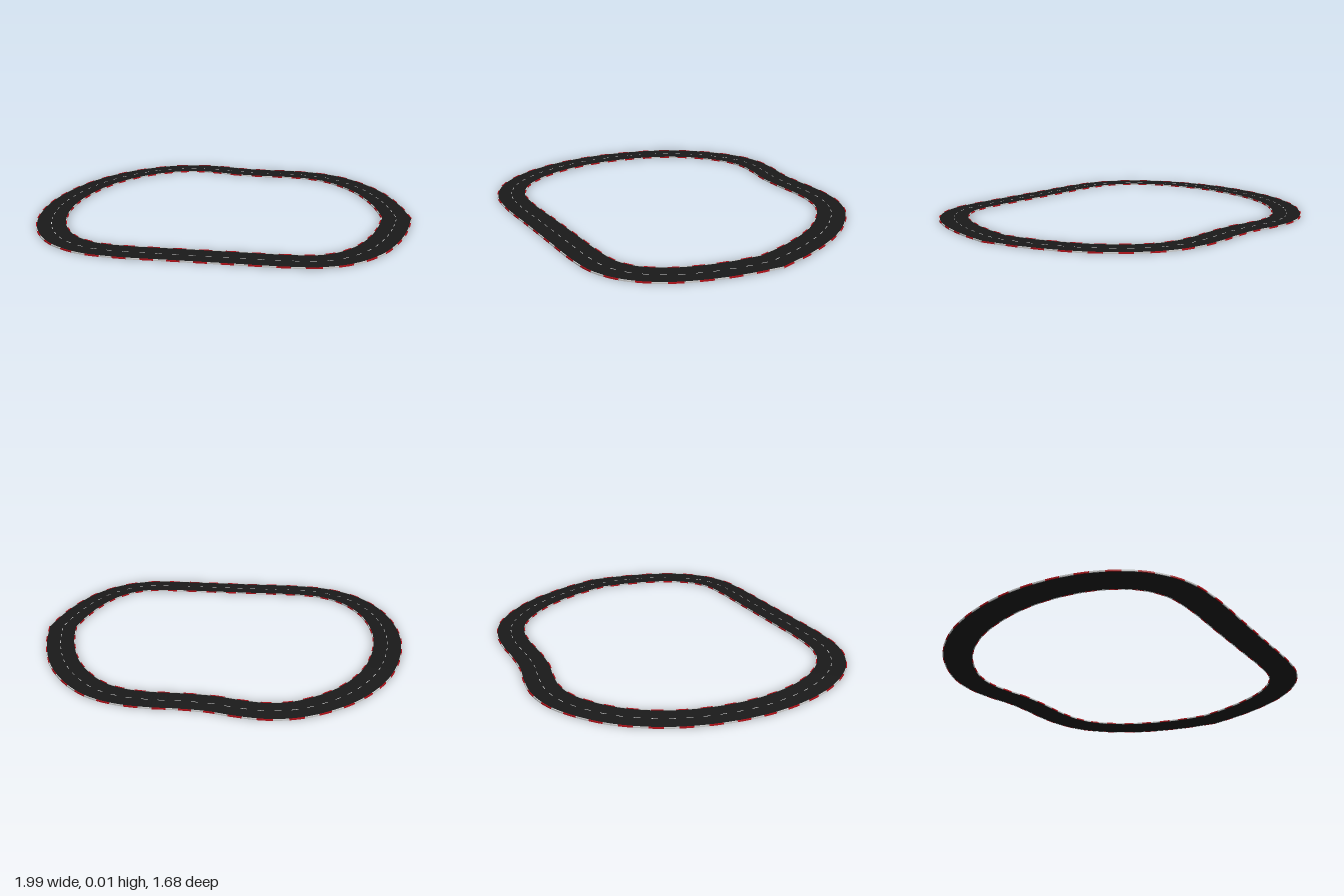
import * as THREE from 'three';

// Centre line of the circuit as [x, z], starting and ending at the kink on the left side
const CENTRE = [
  [0.917, 0.07], [0.87, -0.147], [0.775, -0.385], [0.65, -0.555], [0.54, -0.645], [0.415, -0.693],
  [0.28, -0.71], [0.13, -0.71], [-0.02, -0.72], [-0.15, -0.748], [-0.28, -0.763], [-0.4, -0.745],
  [-0.51, -0.695], [-0.665, -0.575], [-0.8, -0.388], [-0.882, -0.17], [-0.918, 0.083], [-0.893, 0.323],
  [-0.826, 0.505], [-0.72, 0.645], [-0.575, 0.73], [-0.4, 0.757], [-0.13, 0.758], [0.13, 0.758],
  [0.4, 0.757], [0.54, 0.74], [0.66, 0.68], [0.767, 0.562], [0.842, 0.404], [0.888, 0.243], [0.917, 0.07],
];
const HALF_ROAD = 0.074;
const HALF_TOTAL = 0.079;

const curve = new THREE.CatmullRomCurve3(CENTRE.map(([x, z]) => new THREE.Vector3(x, 0, z)));
curve.arcLengthDivisions = 1500;
const LENGTH = curve.getLength();

// Position and sideways direction (towards the infield) at fraction s; the two ends share a mitre
function frame(s) {
  const p = curve.getPointAt(s);
  const t = curve.getTangentAt(s);
  let mitre = 1;
  if (s < 1e-6 || s > 1 - 1e-6) {
    const own = t.clone();
    t.copy(curve.getTangentAt(0)).add(curve.getTangentAt(1)).normalize();
    mitre = 1 / own.dot(t);
  }
  return { p, n: new THREE.Vector3(t.z, 0, -t.x).multiplyScalar(mitre) };
}

// Appends a bar of rectangular section, between two sideways offsets, that follows the track
function addBar(out, a, b, y0, y1, s0, s1, steps, caps = true) {
  const section = [[a, y0], [b, y0], [b, y1], [a, y1]];
  const rings = [];
  for (let i = 0; i <= steps; i++) {
    const { p, n } = frame(Math.min(1, s0 + ((s1 - s0) * i) / steps));
    rings.push(section.map(([d, y]) => [p.x + n.x * d, y, p.z + n.z * d]));
  }
  const quad = (A, B, C, D) => out.push(...A, ...B, ...C, ...A, ...C, ...D);
  for (let i = 0; i < steps; i++) {
    for (let k = 0; k < 4; k++) {
      const m = (k + 1) % 4;
      quad(rings[i][k], rings[i][m], rings[i + 1][m], rings[i + 1][k]);
    }
  }
  if (caps) {
    const f = rings[0], l = rings[steps];
    quad(f[0], f[3], f[2], f[1]);
    quad(l[0], l[1], l[2], l[3]);
  }
}

function makeMesh(name, positions, color) {
  const geometry = new THREE.BufferGeometry();
  geometry.setAttribute('position', new THREE.Float32BufferAttribute(positions, 3));
  geometry.computeVertexNormals();
  const mesh = new THREE.Mesh(geometry, new THREE.MeshStandardMaterial({ color }));
  mesh.name = name;
  return mesh;
}

export function createModel() {
  const track = new THREE.Group();
  track.name = 'raceTrack';

  // Asphalt slab
  const road = [];
  addBar(road, -HALF_ROAD, HALF_ROAD, 0.001, 0.005, 0, 1, 300, false);
  track.add(makeMesh('road', road, 0x1a1a1a));

  // Alternating red and white kerb blocks along both edges
  const red = [], white = [];
  const blocks = 2 * Math.round(LENGTH / 0.125);
  for (let i = 0; i < blocks; i++) {
    const target = i % 2 ? white : red;
    for (const [a, b] of [[-HALF_TOTAL, -HALF_ROAD], [HALF_ROAD, HALF_TOTAL]]) {
      addBar(target, a, b, 0, 0.007, i / blocks, (i + 1) / blocks, 4);
    }
  }
  track.add(makeMesh('redKerbs', red, 0xb01018));
  track.add(makeMesh('whiteKerbs', white, 0xeeeeee));

  // Dashed centre line
  const dashes = [];
  const count = Math.round(LENGTH / 0.08);
  for (let i = 0; i < count; i++) {
    addBar(dashes, -0.0015, 0.0015, 0.004, 0.006, (i + 0.3) / count, (i + 0.7) / count, 2);
  }
  track.add(makeMesh('centreLineDashes', dashes, 0xffffff));

  return track;
}
